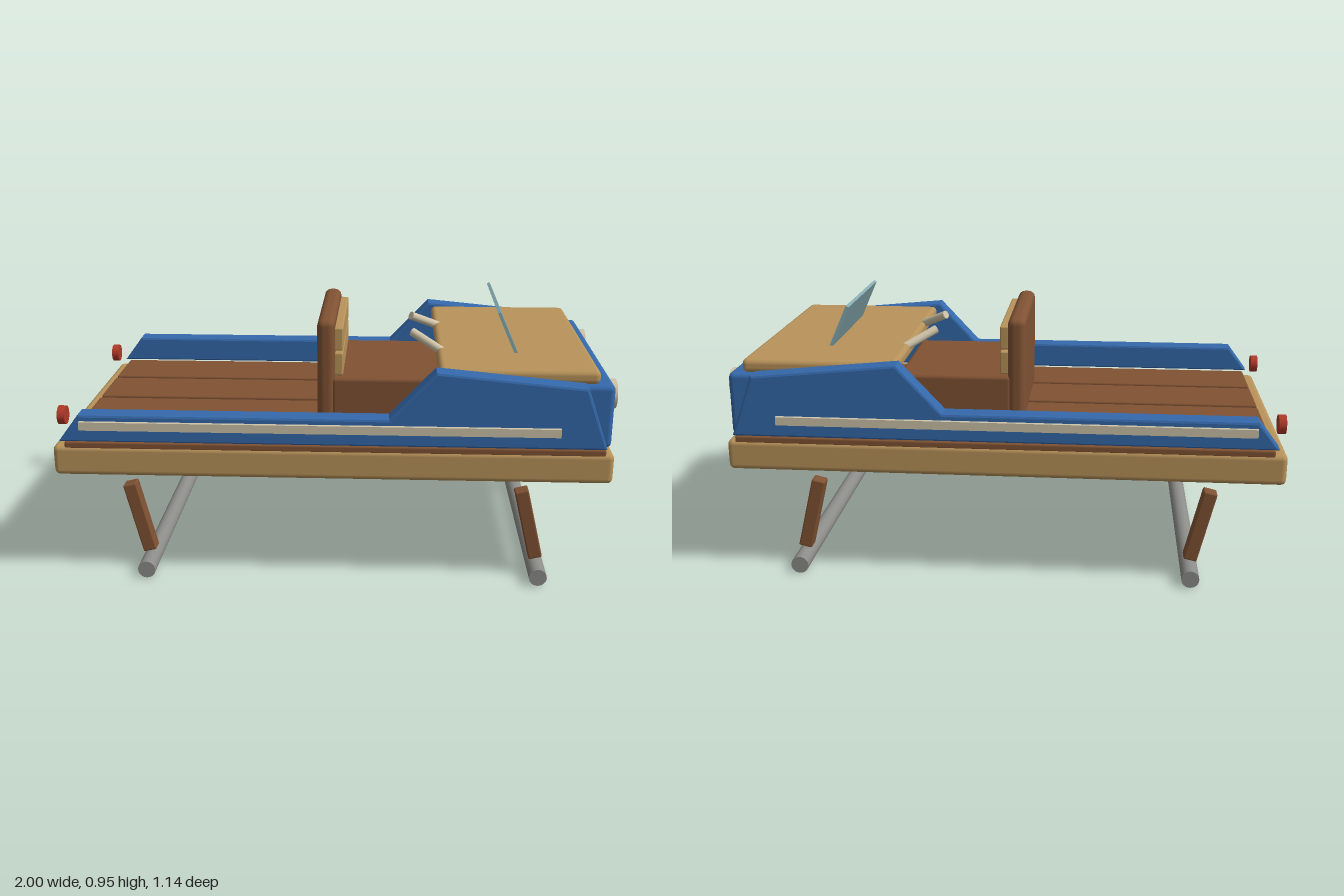
import * as THREE from 'three';
import { RoundedBoxGeometry } from 'three/addons/geometries/RoundedBoxGeometry.js';

const paint = (name, color) => {
  const m = new THREE.MeshStandardMaterial({ color });
  m.name = name;
  return m;
};

export function createModel() {
  const tan = paint('tan wood', 0xb8935a);
  const brown = paint('brown wood', 0x805233);
  const blue = paint('blue paint', 0x3569ab);
  const cream = paint('cream', 0xcfc4a9);
  const grey = paint('grey metal', 0x8c8d89);
  const red = paint('red', 0xb03a28);
  const glass = paint('glass', 0x86abb1);

  const model = new THREE.Group();
  model.name = 'cart';

  const add = (name, geometry, material, x = 0, y = 0, z = 0) => {
    const mesh = new THREE.Mesh(geometry, material);
    mesh.name = name;
    mesh.position.set(x, y, z);
    model.add(mesh);
    return mesh;
  };

  // Rounded box given by its lower and upper limits on each axis
  const block = (name, material, [x0, x1], [y0, y1], [z0, z1], r) =>
    add(name, new RoundedBoxGeometry(x1 - x0, y1 - y0, z1 - z0, 2, r), material,
      (x0 + x1) / 2, (y0 + y1) / 2, (z0 + z1) / 2);

  // Cylinder between two points
  const rod = (name, material, a, b, r) => {
    const from = new THREE.Vector3(...a), to = new THREE.Vector3(...b);
    const dir = to.clone().sub(from);
    const mesh = add(name, new THREE.CylinderGeometry(r, r, dir.length(), 24), material);
    mesh.position.copy(from).add(to).multiplyScalar(0.5);
    mesh.quaternion.setFromUnitVectors(new THREE.Vector3(0, 1, 0), dir.normalize());
    return mesh;
  };

  // Platform with four long planks
  block('deck', tan, [-1, 0.98], [0.4, 0.512], [-0.527, 0.527], 0.02);
  for (const z of [-0.402, -0.134, 0.134, 0.402])
    block('plank', brown, [-0.957, 0.95], [0.5, 0.527], [z - 0.121, z + 0.121], 0.007);

  // Bodywork at the front
  block('nose', blue, [0.84, 0.976], [0.515, 0.747], [-0.476, 0.476], 0.02);
  block('hood', tan, [0.365, 0.922], [0.748, 0.799], [-0.476, 0.476], 0.02);

  // Side panel outline, inset by the bevel
  const b = 0.01;
  const outline = [[-0.953, 0.546], [-0.886, 0.63], [0.198, 0.63], [0.357, 0.8],
    [0.862, 0.751], [0.936, 0.546]];
  const panel = new THREE.ExtrudeGeometry(
    new THREE.Shape(outline.map(([x, y]) => new THREE.Vector2(x, y))),
    { depth: 0.076 - 2 * b, bevelEnabled: true, bevelSize: b, bevelThickness: b, bevelSegments: 2 });
  panel.translate(0, 0, -0.038 + b);

  for (const s of [-1, 1]) {
    add('sidePanel', panel, blue, 0, 0, s * 0.518);
    add('sideTrim', new THREE.BoxGeometry(1.67, 0.03, 0.03), cream, -0.052, 0.602, s * 0.555);
    rod('headlight', cream, [0.96, 0.68, s * 0.351], [0.998, 0.68, s * 0.351], 0.053);
    rod('tailLight', red, [-1, 0.59, s * 0.412], [-0.973, 0.59, s * 0.412], 0.034);
    rod('controlLever', cream, [0.275, 0.84, s * 0.125], [0.41, 0.772, s * 0.206], 0.016);
  }

  // Windscreen leaning back
  const screen = add('windscreen', new THREE.BoxGeometry(0.012, 0.175, 0.51), glass, 0.62, 0.867, 0);
  screen.rotation.z = 0.42;

  // Seat
  block('seatBase', brown, [-0.02, 0.4], [0.525, 0.7], [-0.272, 0.272], 0.015);
  block('seatBack', brown, [-0.073, -0.007], [0.525, 0.917], [-0.277, 0.277], 0.026);
  for (const y of [0.704, 0.798])
    block('seatSlat', tan, [-0.012, 0.022], [y, y + 0.086], [-0.257, 0.257], 0.006);

  // Slanted legs on cross bars
  for (const x of [-0.688, 0.74]) {
    rod('crossBar', grey, [x, 0.032, -0.527], [x, 0.032, 0.527], 0.032);
    for (const z of [-0.42, 0.42]) {
      const leg = add('leg', new RoundedBoxGeometry(0.05, 0.272, 0.054, 2, 0.006), brown,
        x - 0.033, 0.202, z);
      leg.rotation.z = 0.235;
    }
  }
  return model;
}
